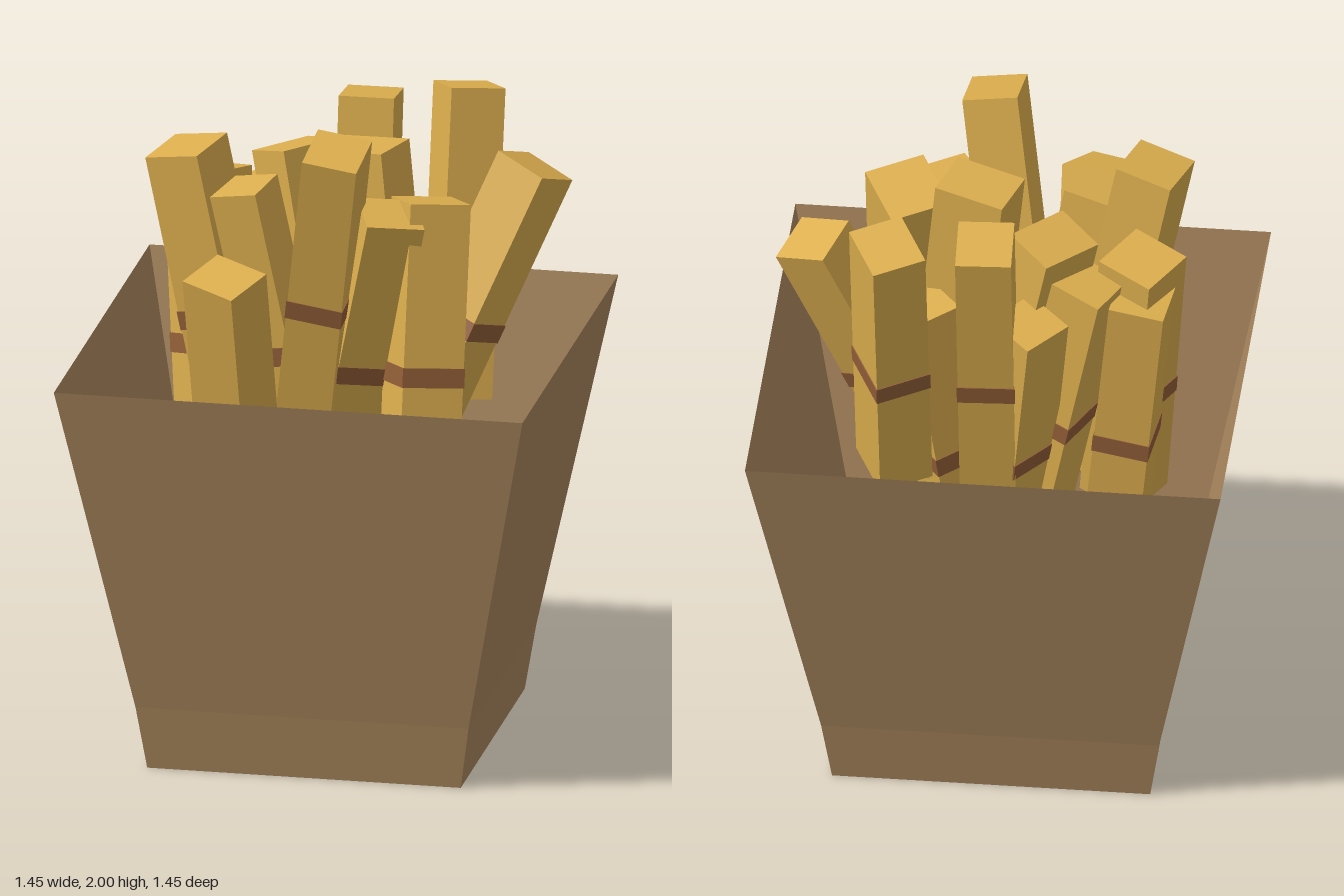
import * as THREE from 'three';

const DEG = Math.PI / 180;

// Each stick: tip centre x, y, z, lean per unit height in x and z, turn in degrees, width, depth
const STICKS = [
  [0.32, 1.93, -0.455, 0, -0.22, -28, 0.17, 0.2],
  [0.03, 1.91, -0.385, 0, -0.15, -3, 0.17, 0.2],
  [0.085, 1.87, 0, -0.1, -0.04, 17, 0.22, 0.18],
  [0.08, 1.97, 0.375, 0.14, 0.23, 3, 0.17, 0.2],
  [-0.435, 1.88, 0.14, -0.2, 0.03, 16, 0.18, 0.2],
  [-0.425, 1.72, -0.135, -0.08, -0.16, 31, 0.19, 0.19],
  [-0.43, 1.62, -0.2, -0.1, -0.1, 7, 0.17, 0.17],
  [-0.26, 1.77, 0.165, -0.2, 0.06, 12, 0.17, 0.17],
  [-0.235, 1.6, 0.54, -0.01, 0.3, 29, 0.19, 0.17],
  [0.575, 1.77, -0.205, 0.43, -0.15, 23, 0.18, 0.17],
  [0.32, 1.75, 0.13, 0, -0.22, -28, 0.19, 0.22],
  [0.22, 1.74, 0.25, 0.22, 0.18, -23, 0.18, 0.17],
  [-0.16, 1.8, -0.175, -0.2, -0.15, -47, 0.21, 0.17],
  [-0.27, 1.68, -0.22, -0.2, -0.12, 25, 0.17, 0.17],
  [-0.1, 1.6, -0.34, -0.1, -0.2, -50, 0.17, 0.17],
  [0.25, 1.5, -0.13, 0.15, -0.05, -35, 0.17, 0.17],
];
const LENGTH = 0.95;
const BAND_DROP = 0.53; // distance from the tip to the band

const paint = (color, side = THREE.FrontSide) =>
  new THREE.MeshStandardMaterial({ color, side, flatShading: true });

// Square tapering cup, open at the top, with a slight kink near the foot
function makeCup() {
  const profile = [[0, 0], [0.485, 0], [0.515, 0.2], [0.725, 1.26]]
    .map(([half, y]) => new THREE.Vector2(half * Math.SQRT2, y));
  const geometry = new THREE.LatheGeometry(profile, 4, Math.PI / 4).toNonIndexed();
  geometry.computeVertexNormals();
  const cup = new THREE.Mesh(geometry, paint(0xa9865d, THREE.DoubleSide));
  cup.name = 'cup';
  return cup;
}

// Square stick hanging down from its tip, with a thin brown band round it
function makeStick([x, y, z, leanX, leanZ, turn, w, d], stickPaint, bandPaint) {
  const stick = new THREE.Group();
  stick.name = 'stick';

  const body = new THREE.Mesh(new THREE.BoxGeometry(w, LENGTH, d), stickPaint);
  body.name = 'stickBody';
  body.position.y = -LENGTH / 2;

  const band = new THREE.Mesh(new THREE.BoxGeometry(w + 0.006, 0.06, d + 0.006), bandPaint);
  band.name = 'stickBand';
  band.position.y = -BAND_DROP;
  stick.add(body, band);

  // Lean the long axis, keeping the turn of the cross-section
  const up = new THREE.Vector3(leanX, 1, leanZ).normalize();
  const across = new THREE.Vector3(Math.cos(turn * DEG), 0, Math.sin(turn * DEG));
  across.addScaledVector(up, -across.dot(up)).normalize();
  const depth = new THREE.Vector3().crossVectors(across, up);
  stick.quaternion.setFromRotationMatrix(new THREE.Matrix4().makeBasis(across, up, depth));
  stick.position.set(x, y, z);
  return stick;
}

export function createModel() {
  const model = new THREE.Group();
  model.name = 'cupOfSticks';
  model.add(makeCup());

  const stickPaint = paint(0xdcae4e);
  const bandPaint = paint(0x935f38);
  const sticks = new THREE.Group();
  sticks.name = 'sticks';
  for (const spec of STICKS) sticks.add(makeStick(spec, stickPaint, bandPaint));
  model.add(sticks);
  return model;
}
